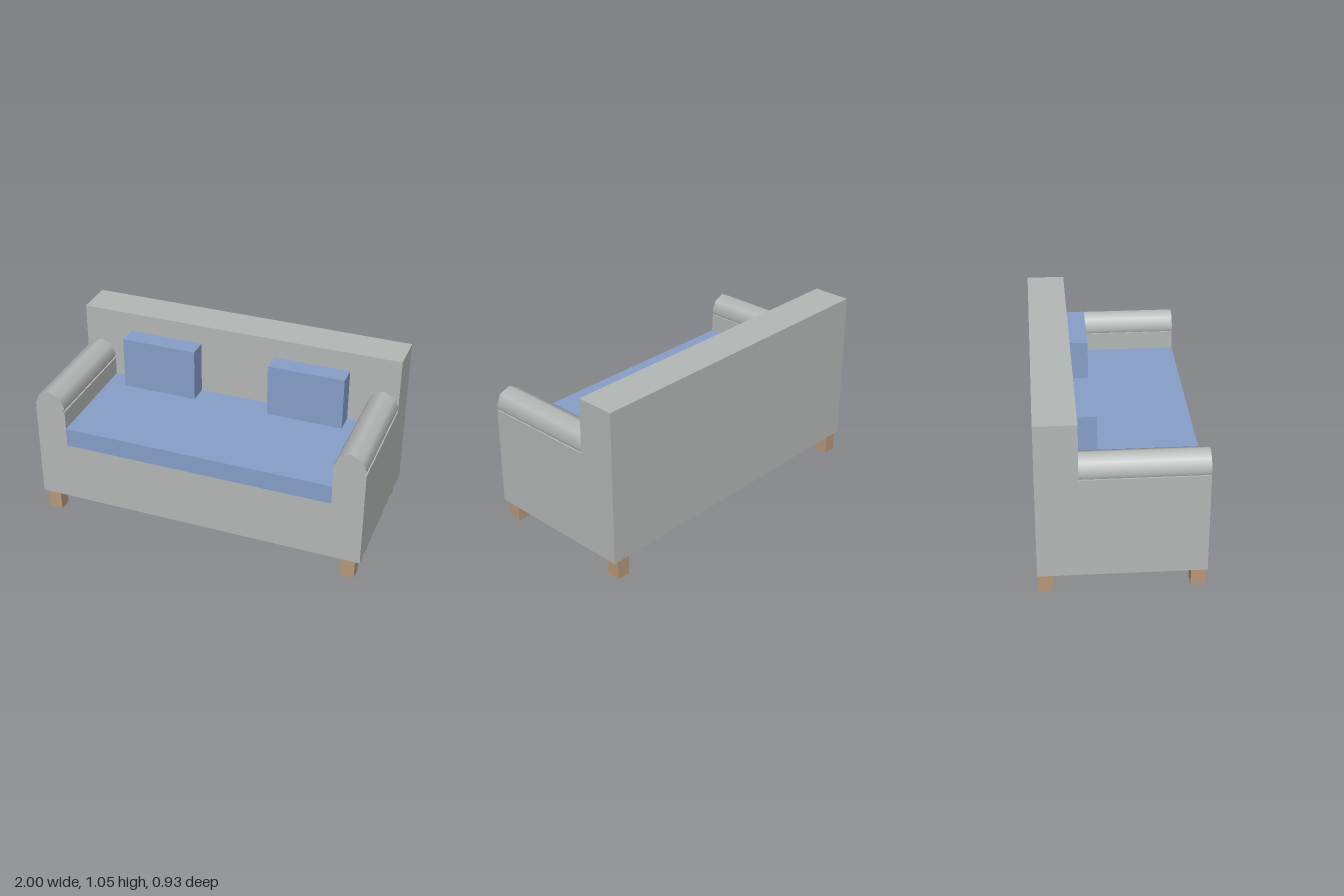
import * as THREE from 'three';

export function createModel() {
  const sofa = new THREE.Group();
  sofa.name = 'sofa';

  const material = (name, color) => {
    const m = new THREE.MeshStandardMaterial({ color });
    m.name = name;
    return m;
  };
  const grey = material('grey upholstery', 0xb4b8b7);
  const blue = material('blue fabric', 0x879fca);
  const wood = material('light wood', 0xb8997b);

  const add = (name, geometry, mat, x, y, z) => {
    const mesh = new THREE.Mesh(geometry, mat);
    mesh.name = name;
    mesh.position.set(x, y, z);
    sofa.add(mesh);
    return mesh;
  };
  // Box given by its lower and upper corners
  const box = (name, mat, [x0, y0, z0], [x1, y1, z1]) =>
    add(name, new THREE.BoxGeometry(x1 - x0, y1 - y0, z1 - z0), mat,
      (x0 + x1) / 2, (y0 + y1) / 2, (z0 + z1) / 2);

  const front = 0.466, backFace = -0.234, inner = 0.814, bottom = 0.12;

  // Body: backrest, base under the seat, full-width seat cushion
  box('backrest', grey, [-1, bottom, -front], [1, 1.05, backFace]);
  box('base', grey, [-inner, bottom, backFace], [inner, 0.49, front]);
  box('seatCushion', blue, [-inner, 0.49, backFace], [inner, 0.605, front]);

  // Eight-sided, smooth-shaded roll on top of each arm
  const radius = (1 - inner) / 2;
  const rollGeometry = new THREE.CylinderGeometry(radius, radius, front - backFace, 8);
  rollGeometry.rotateX(Math.PI / 2);

  for (const [side, s] of [['left', 1], ['right', -1]]) {
    const cx = s * (1 - radius);
    box(side + 'Arm', grey, [cx - radius, bottom, backFace], [cx + radius, 0.72, front]);
    add(side + 'ArmRoll', rollGeometry, grey, cx, 0.744, (front + backFace) / 2);

    // Back cushion leaning against the backrest
    const px = s * 0.466;
    box(side + 'Pillow', blue, [px - 0.233, 0.605, backFace], [px + 0.233, 0.93, -0.117]);

    // Square legs
    for (const [end, z] of [['Front', 0.42], ['Back', -0.42]]) {
      add(side + end + 'Leg', new THREE.BoxGeometry(0.082, bottom, 0.082), wood, s * 0.93, bottom / 2, z);
    }
  }
  return sofa;
}
